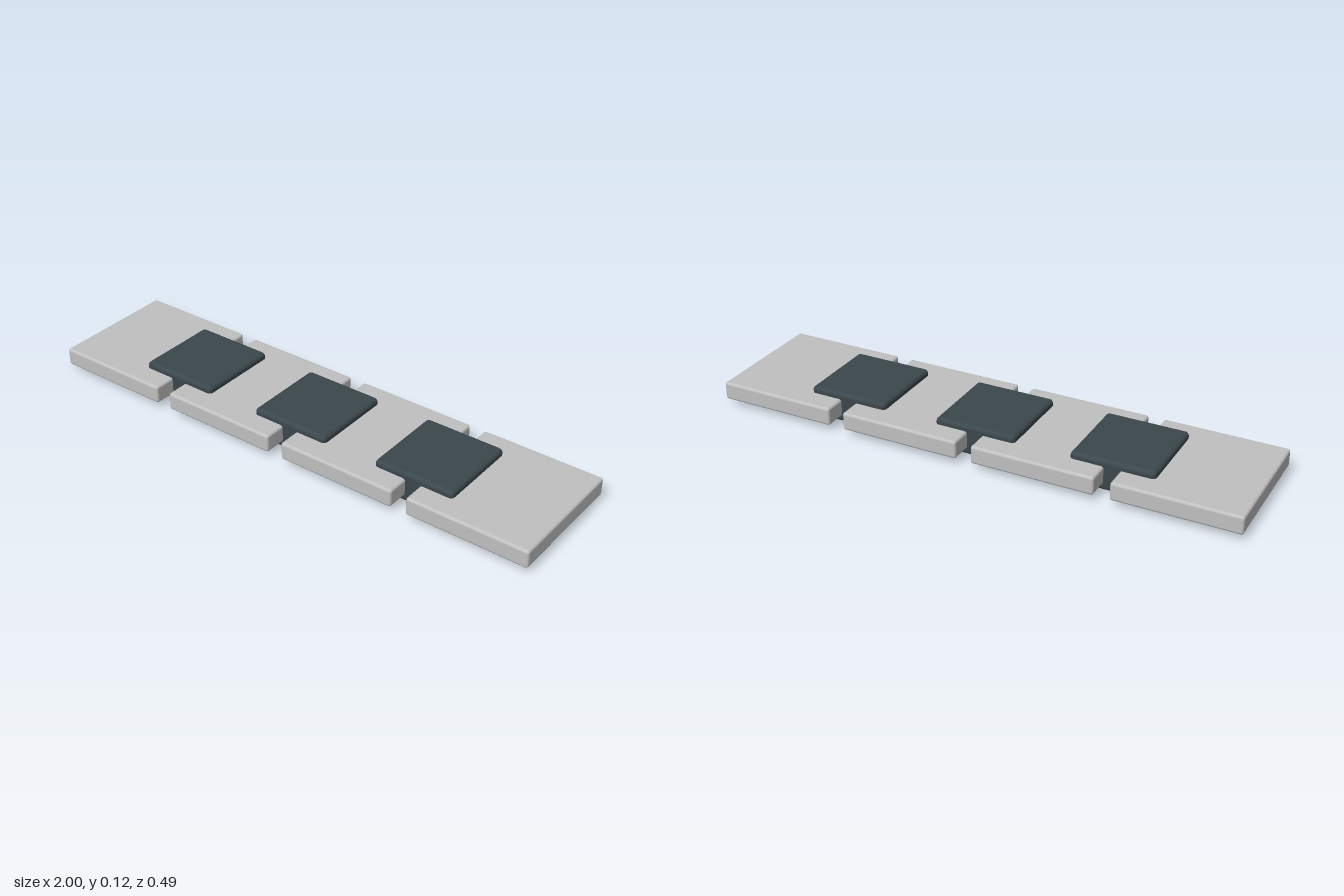
import * as THREE from 'three';
import { RoundedBoxGeometry } from 'three/addons/geometries/RoundedBoxGeometry.js';

const PITCH = 0.5143; // spacing of panels and of joints
const MID_Y = 0.058;

export function createModel() {
  const model = new THREE.Group();
  model.name = 'linkedPanelStrip';

  const lightGrey = new THREE.MeshStandardMaterial({ color: 0xc0c0c0 });
  lightGrey.name = 'lightGrey';
  const darkSlate = new THREE.MeshStandardMaterial({ color: 0x3b474c });
  darkSlate.name = 'darkSlate';

  // Places count copies of a part in a row centred on x = 0
  const addRow = (name, count, geometry, material) => {
    for (let i = 0; i < count; i++) {
      const part = new THREE.Mesh(geometry, material);
      part.name = name + (i + 1);
      part.position.set((i - (count - 1) / 2) * PITCH, MID_Y, 0);
      model.add(part);
    }
  };

  // Flat panels with softened edges
  addRow('panel', 4, new RoundedBoxGeometry(0.457, 0.068, 0.488, 4, 0.01), lightGrey);

  // Thicker joint blocks bridging the gaps
  addRow('joint', 3, new RoundedBoxGeometry(0.308, 0.116, 0.32, 4, 0.015), darkSlate);

  return model;
}
